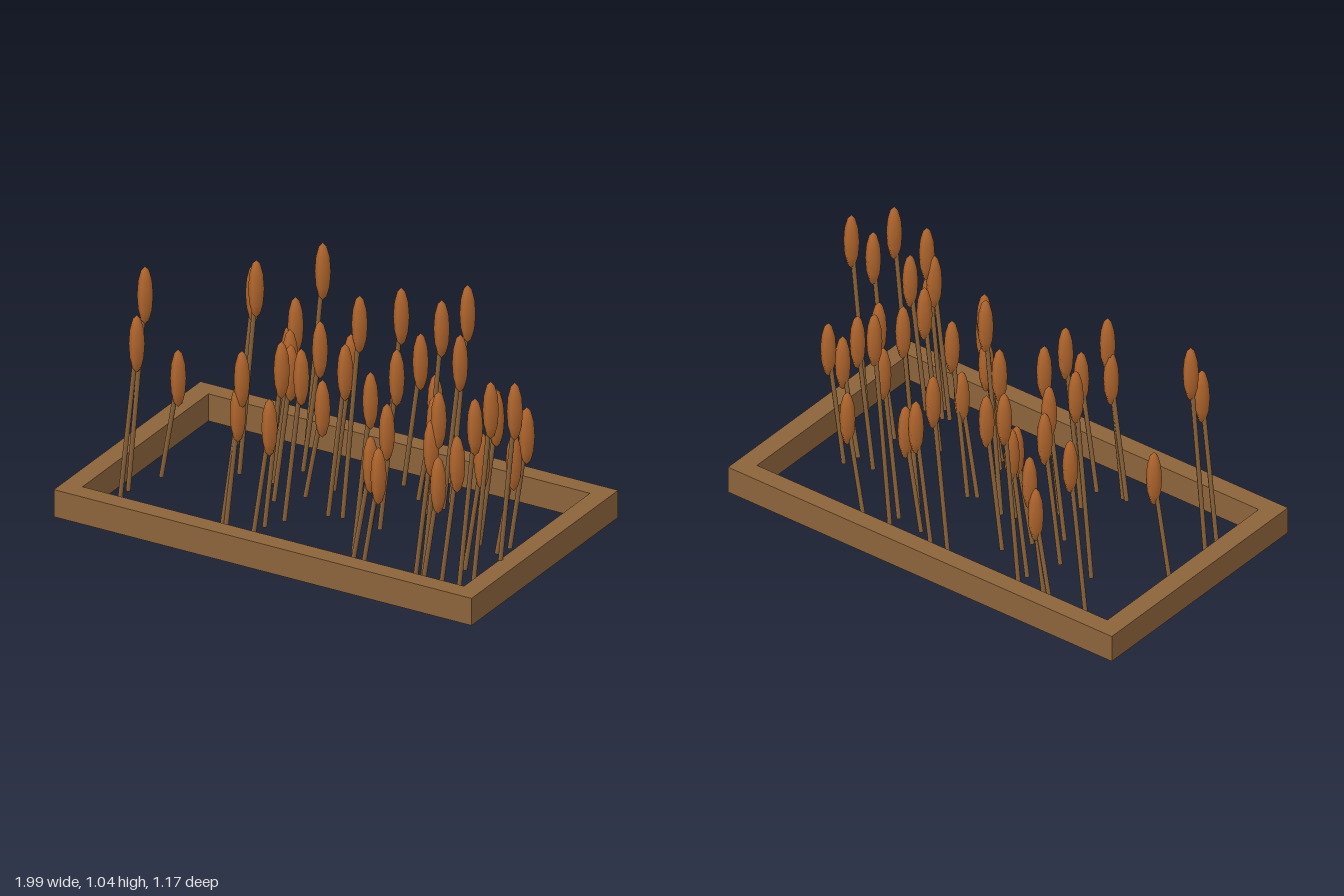
import * as THREE from 'three';

const frameWood = new THREE.MeshStandardMaterial({ color: 0x8b633a });
frameWood.name = 'frame brown';
const headRust = new THREE.MeshStandardMaterial({ color: 0xb0652c });
headRust.name = 'seed head rust';

// Each reed: head x, head z, tip height
const REEDS = [
  [-0.63, -0.385, 0.835], [-0.495, -0.44, 0.57], [-0.46, -0.435, 0.71], [-0.34, -0.45, 0.98],
  [-0.27, -0.31, 0.7], [-0.48, -0.155, 0.99], [-0.32, -0.155, 0.715], [-0.14, -0.11, 0.55],
  [-0.07, -0.22, 0.73], [0.05, -0.42, 0.885], [0.15, -0.405, 0.71], [0.27, -0.32, 0.59],
  [0.4, -0.36, 1.01], [0.4, -0.3, 0.81], [0.535, -0.365, 0.57], [0.36, -0.22, 0.99],
  [0.82, -0.125, 0.66], [0.7, -0.085, 0.725], [0.8, -0.055, 0.565], [-0.74, 0.03, 0.597],
  [-0.23, -0.01, 0.73], [0.03, -0.005, 0.8], [0.09, -0.02, 1.027], [0.24, 0.015, 0.59],
  [0.275, -0.005, 0.837], [-0.79, 0.21, 1.037], [-0.77, 0.31, 0.863], [-0.1, 0.125, 0.8],
  [-0.14, 0.215, 0.86], [-0.12, 0.345, 0.66], [-0.255, 0.37, 0.7], [-0.235, 0.372, 0.86],
  [0.29, 0.23, 0.835], [0.32, 0.28, 0.573], [0.435, 0.41, 0.605], [0.565, 0.185, 0.775],
  [0.765, 0.14, 0.642], [0.845, 0.205, 0.92], [0.965, 0.215, 0.948], [0.67, 0.385, 0.78],
  [0.7, 0.375, 0.91], [0.79, 0.38, 0.735], [0.88, 0.39, 0.93], [0.73, 0.43, 0.645],
];
const HEAD_HALF = 0.131;
const LEAN = 0.08;

function rectangle(PathType, x0, x1, z) {
  return new PathType([[x0, -z], [x1, -z], [x1, z], [x0, z]].map(p => new THREE.Vector2(...p)));
}

// Open rectangular border lying on the ground
function createFrame() {
  const shape = rectangle(THREE.Shape, -1, 0.98, 0.585);
  shape.holes.push(rectangle(THREE.Path, -0.913, 0.895, 0.502));
  const geometry = new THREE.ExtrudeGeometry(shape, { depth: 0.123, bevelEnabled: false });
  geometry.rotateX(-Math.PI / 2).translate(0, 0.006, 0);
  const frame = new THREE.Mesh(geometry, frameWood);
  frame.name = 'frame';
  return frame;
}

// Straight leaning stalk between two points
function createStem(from, to) {
  const axis = to.clone().sub(from);
  const stem = new THREE.Mesh(new THREE.CylinderGeometry(0.01, 0.01, axis.length(), 6), frameWood);
  stem.quaternion.setFromUnitVectors(new THREE.Vector3(0, 1, 0), axis.normalize());
  stem.position.copy(from).add(to).multiplyScalar(0.5);
  stem.name = 'stem';
  return stem;
}

export function createModel() {
  const model = new THREE.Group();
  model.name = 'reedBed';
  model.add(createFrame());

  // Upright six-sided seed heads on leaning stems
  const headGeometry = new THREE.SphereGeometry(1, 6, 6).rotateY(Math.PI / 2).scale(0.033, HEAD_HALF, 0.033);
  for (const [x, z, tip] of REEDS) {
    const reed = new THREE.Group();
    reed.name = 'reed';
    const centre = new THREE.Vector3(x, tip - HEAD_HALF, z);
    const head = new THREE.Mesh(headGeometry, headRust);
    head.name = 'seedHead';
    head.position.copy(centre);
    reed.add(createStem(new THREE.Vector3(x - LEAN, 0.001, z), centre), head);
    model.add(reed);
  }
  return model;
}
